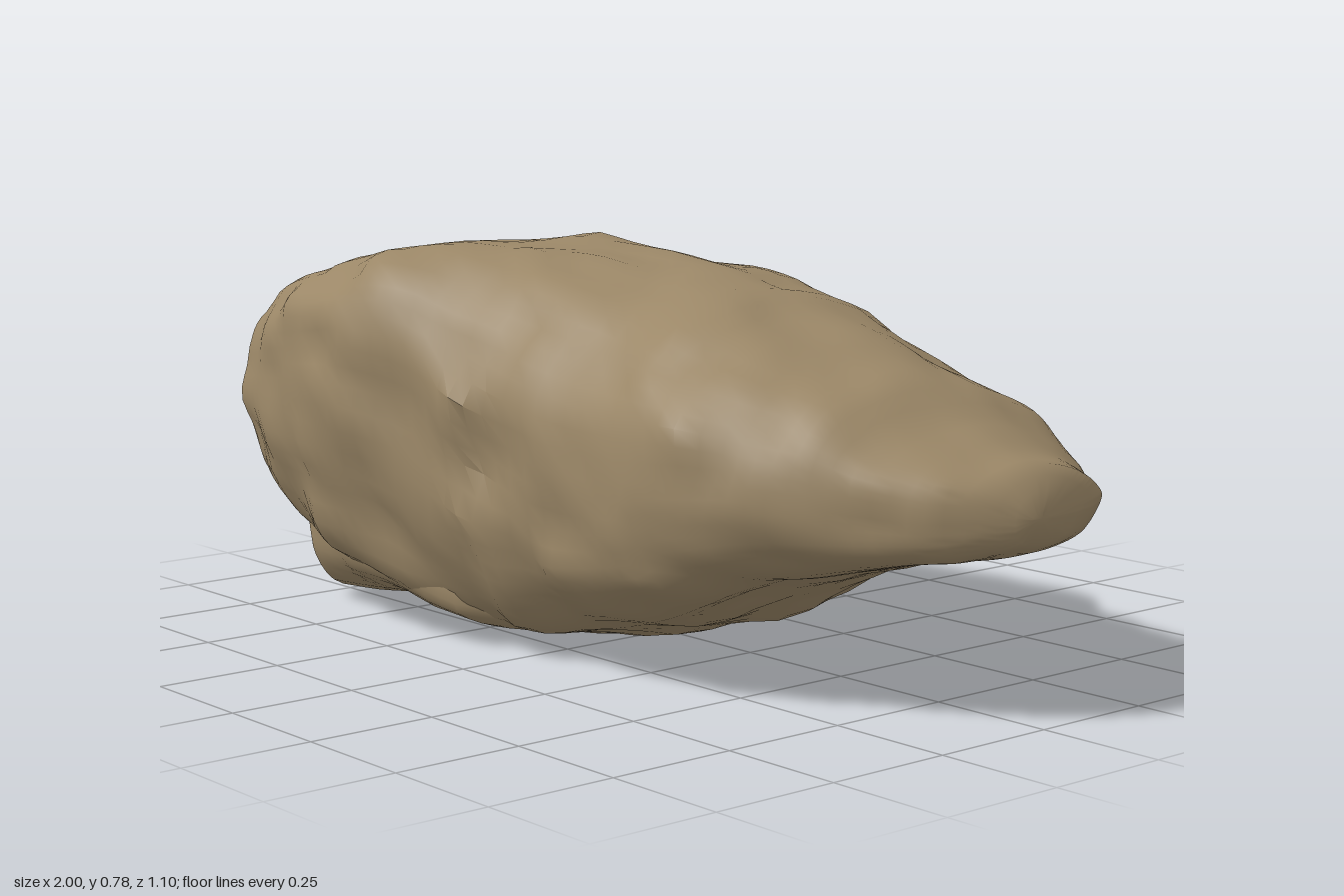
import * as THREE from 'three';
import { toCreasedNormals } from 'three/addons/utils/BufferGeometryUtils.js';

// Seeded lattice noise, 0..1
function hash(x, y, z) {
  let h = Math.imul(x, 374761393) ^ Math.imul(y, 668265263) ^ Math.imul(z, 1274126177);
  h = Math.imul(h ^ (h >>> 13), 1103515245);
  return ((h ^ (h >>> 16)) >>> 0) / 4294967296;
}
function noise(x, y, z) {
  const i = Math.floor(x), j = Math.floor(y), k = Math.floor(z);
  const f = x - i, g = y - j, h = z - k, mix = THREE.MathUtils.lerp;
  const row = (b, c) => mix(hash(i, j + b, k + c), hash(i + 1, j + b, k + c), f);
  return mix(mix(row(0, 0), row(1, 0), g), mix(row(0, 1), row(1, 1), g), h);
}

// Unit cross-sections (u across z, v up), running front, top, back, bottom
const section = (pts) => new THREE.CatmullRomCurve3(
  pts.map(([u, v]) => new THREE.Vector3(0, v, u)), true);
const bluntSection = section([[1, .64], [.96, .86], [.8, .98], [.4, 1], [-.1, .97], [-.6, .85],
  [-.92, .65], [-1, .48], [-.88, .3], [-.62, .1], [-.1, 0], [.45, .01], [.8, .1], [.95, .35]]);
const slopedSection = section([[1, .42], [.93, .7], [.7, .88], [.25, .98], [-.2, .95], [-.61, .81],
  [-.9, .63], [-1, .5], [-.9, .32], [-.64, .11], [-.1, 0], [.45, .01], [.8, .07], [.95, .2]]);
const slabSection = section([[1, .5], [.98, .8], [.8, .97], [.4, 1], [-.1, 1], [-.6, 1],
  [-.9, .95], [-1, .7], [-.95, .4], [-.82, .1], [-.4, 0], [.2, 0], [.7, .08], [.94, .28]]);

// Interpolate a station row [x, zBack, zFront, yBottom, yTop]
function stationAt(rows, x) {
  let i = 0;
  while (i < rows.length - 2 && x > rows[i + 1][0]) i++;
  const t = (x - rows[i][0]) / (rows[i + 1][0] - rows[i][0]);
  return rows[i].map((v, k) => THREE.MathUtils.lerp(v, rows[i + 1][k], t));
}

// Skin rough cross-sections along x into a closed stone
function stone(rows, startSection, endSection, rings, sides, rough) {
  const pos = [], index = [];
  const x0 = rows[0][0], x1 = rows[rows.length - 1][0];
  for (let i = 0; i < rings; i++) {
    // Rings bunch up toward both ends
    const s = i / (rings - 1);
    const e = THREE.MathUtils.lerp(s, (1 - Math.cos(Math.PI * s)) / 2, .6);
    const x = THREE.MathUtils.lerp(x0, x1, e);
    const [, zb, zf, yb, yt] = stationAt(rows, x);
    const blend = THREE.MathUtils.smoothstep(x, -.4, .3);
    const cy = (yb + yt) / 2, cz = (zb + zf) / 2;
    for (let j = 0; j < sides; j++) {
      const p = startSection.getPoint(j / sides).lerp(endSection.getPoint(j / sides), blend);
      const y = yb + p.y * (yt - yb), z = cz + p.z * (zf - zb) / 2;
      const n = .4 * noise(x * 6 + 9, y * 8 + 3, z * 7 + 7) + .6 * noise(x * 12, y * 14, z * 13);
      const k = 1 + rough * (n - .5);
      const shift = .07 * (noise(x * 9 + 40, y * 9, z * 9) - .5) * Math.sin(Math.PI * s);
      pos.push(x + shift, Math.max(0, cy + (y - cy) * k), cz + (z - cz) * k);
    }
    if (i === 0) continue;
    for (let j = 0; j < sides; j++) {
      const a = (i - 1) * sides + j, c = (i - 1) * sides + (j + 1) % sides;
      index.push(a, a + sides, c, a + sides, c + sides, c);
    }
  }
  // End caps
  for (const end of [0, rings - 1]) {
    const [x, zb, zf, yb, yt] = rows[end ? rows.length - 1 : 0];
    const centre = pos.length / 3;
    pos.push(x, (yb + yt) / 2, (zb + zf) / 2);
    for (let j = 0; j < sides; j++) {
      const a = end * sides + j, b = end * sides + (j + 1) % sides;
      if (end) index.push(centre, b, a); else index.push(centre, a, b);
    }
  }
  const geo = new THREE.BufferGeometry();
  geo.setAttribute('position', new THREE.Float32BufferAttribute(pos, 3));
  geo.setIndex(index);
  return toCreasedNormals(geo, .7);
}

export function createModel() {
  const group = new THREE.Group();
  group.name = 'boulder';
  const rock = new THREE.MeshStandardMaterial({ color: 0x9b8767 });
  rock.name = 'tan rock';
  const add = (name, geo) => {
    const mesh = new THREE.Mesh(geo, rock);
    mesh.name = name;
    group.add(mesh);
  };

  // Main mass, tapering to a point on its left
  add('mainRock', stone([
    [-1, .13, .21, .38, .43], [-.95, -.06, .33, .33, .49], [-.9, -.23, .38, .28, .54],
    [-.8, -.31, .47, .21, .62], [-.7, -.36, .5, .14, .68], [-.5, -.43, .54, .08, .735],
    [-.35, -.46, .53, .05, .76], [-.2, -.5, .49, .025, .775], [-.12, -.51, .48, .005, .77],
    [0, -.525, .46, .015, .765], [.18, -.54, .445, .05, .745], [.3, -.5, .445, .085, .725],
    [.4, -.42, .445, .12, .7], [.5, -.4, .43, .18, .665], [.6, -.375, .39, .22, .625],
    [.73, -.35, .32, .25, .58], [.8, -.3, .27, .265, .525], [.9, -.24, .2, .285, .475],
    [.96, -.19, .12, .305, .455], [.985, -.1, .07, .32, .42], [1, -.01, .04, .36, .38],
  ], bluntSection, slopedSection, 64, 64, .15));

  // Undercut slab beneath the blunt end
  add('lowerLedge', stone([
    [-.92, .05, .2, .26, .33], [-.88, -.1, .28, .2, .34], [-.8, -.08, .34, .12, .33],
    [-.7, -.02, .37, .005, .3], [-.5, -.14, .42, .03, .26], [-.35, -.22, .43, .045, .23],
    [-.15, -.25, .4, .01, .18], [0, -.18, .3, .02, .12], [.1, -.05, .15, .05, .1],
  ], slabSection, slabSection, 30, 44, .14));

  return group;
}
